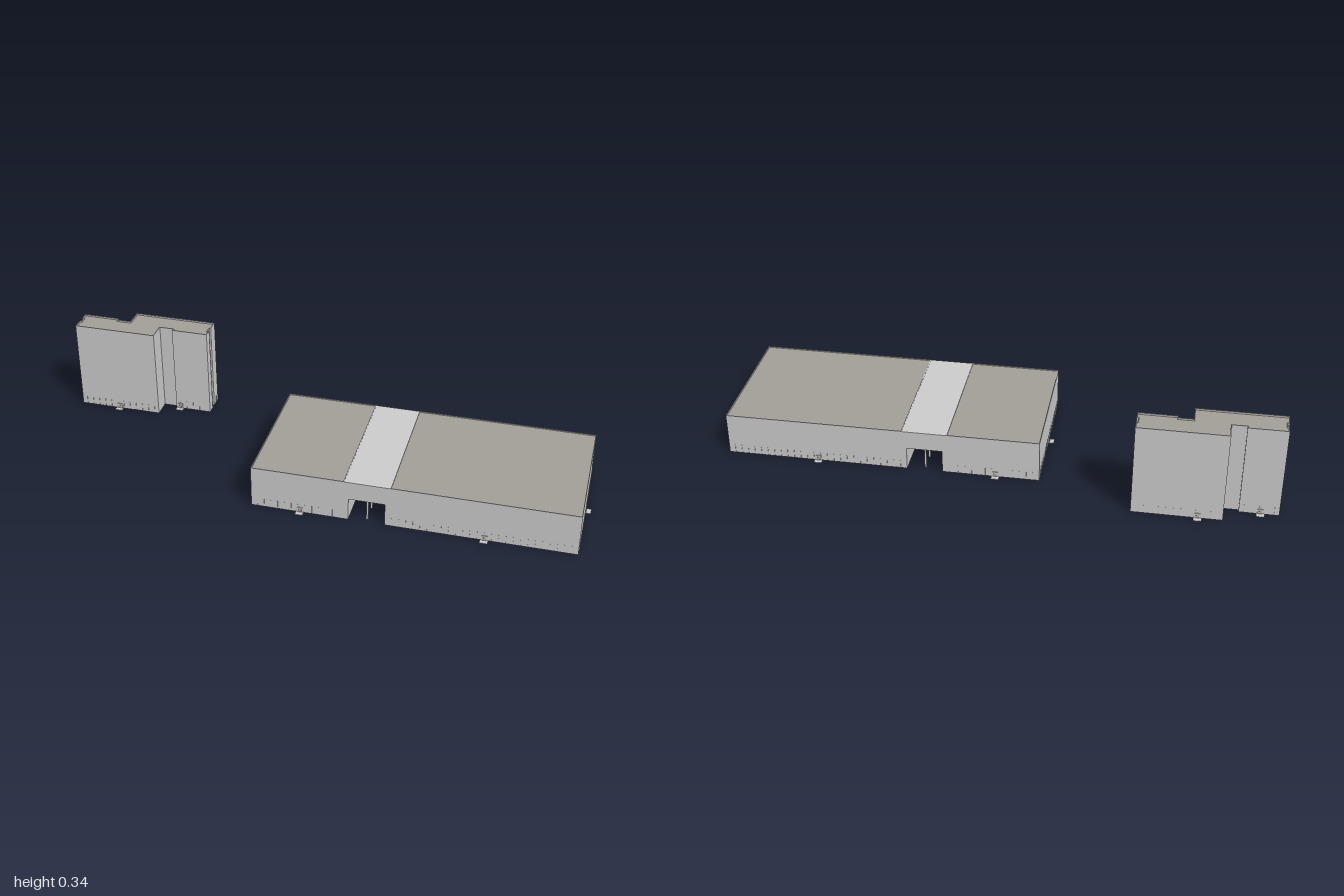
import * as THREE from 'three';

const wall = new THREE.MeshStandardMaterial({ color: 0xcccccc, flatShading: true });
const roofing = new THREE.MeshStandardMaterial({ color: 0xa19f98, flatShading: true });
const leaf = new THREE.MeshStandardMaterial({ color: 0xb0a48e, flatShading: true });

function add(parent, name, geometry, material = wall, x = 0, y = 0, z = 0) {
  const mesh = new THREE.Mesh(geometry, material);
  mesh.name = name;
  mesh.position.set(x, y, z);
  parent.add(mesh);
  return mesh;
}

// Footprints are counter-clockwise lists of [x, -z]
const toPoints = (list) => list.map(([x, y]) => new THREE.Vector2(x, y));

function prism(points, y0, y1, hole) {
  const shape = new THREE.Shape(points);
  if (hole) shape.holes.push(new THREE.Path(hole));
  const g = new THREE.ExtrudeGeometry(shape, { depth: y1 - y0, bevelEnabled: false });
  return g.rotateX(-Math.PI / 2).translate(0, y0, 0);
}

// Shrinks a right-angled footprint by t
function inset(points, t) {
  const n = points.length;
  const inward = (a, b) => {
    const d = b.clone().sub(a).normalize();
    return new THREE.Vector2(-d.y, d.x);
  };
  return points.map((p, i) => p.clone()
    .addScaledVector(inward(points[(i + n - 1) % n], p), t)
    .addScaledVector(inward(p, points[(i + 1) % n]), t));
}

// Walls, recessed roof and parapet rim over one footprint
function block(parent, name, points, height, rim) {
  const inner = inset(points, 0.003);
  add(parent, name + 'Walls', prism(points, 0, height - rim));
  add(parent, name + 'Parapet', prism(points, height - rim, height, inner));
  const roof = new THREE.ShapeGeometry(new THREE.Shape(inner)).rotateX(-Math.PI / 2);
  add(parent, name + 'Roof', roof, roofing, 0, height - rim + 0.001, 0);
}

// Entrance with frame, door leaf and flat step; angle 0 faces +z
function entrance(parent, x, z, angle) {
  const g = new THREE.Group();
  g.name = 'entrance';
  add(g, 'step', new THREE.BoxGeometry(0.028, 0.002, 0.02), wall, 0, 0.001, 0.01);
  add(g, 'doorFrame', new THREE.BoxGeometry(0.02, 0.02, 0.004), wall, 0, 0.01, 0.001);
  add(g, 'doorLeaf', new THREE.BoxGeometry(0.012, 0.013, 0.005), leaf, 0, 0.0065, 0.0015);
  g.position.set(x, 0, z);
  g.rotation.y = angle;
  parent.add(g);
}

// Thin upright fins along the foot of a wall from (x0, z0) to (x1, z1)
function fins(parent, x0, z0, x1, z1) {
  const length = Math.hypot(x1 - x0, z1 - z0);
  const count = Math.floor(length / 0.024);
  for (let i = 0; i < count; i++) {
    const t = (i + 0.5) / count;
    const fin = add(parent, 'wallFin', new THREE.BoxGeometry(0.0015, 0.03, 0.004), wall,
      x0 + (x1 - x0) * t, 0.017, z0 + (z1 - z0) * t);
    fin.rotation.y = -Math.atan2(z1 - z0, x1 - x0);
  }
}

function createHall() {
  const hall = new THREE.Group();
  hall.name = 'hall';
  const W = 0.5675, D = 0.2545;
  const rect = (a, b) => toPoints([[a, -D], [b, -D], [b, D], [a, D]]);
  block(hall, 'westWing', rect(-W, -0.236), 0.155, 0.004);
  block(hall, 'eastWing', rect(-0.076, W), 0.155, 0.004);

  // Link bridging the open passage
  const link = new THREE.Shape(toPoints([
    [-0.236, 0], [-0.22, 0], [-0.22, 0.085], [-0.092, 0.085],
    [-0.092, 0], [-0.076, 0], [-0.076, 0.154], [-0.236, 0.154],
  ]));
  add(hall, 'passageLink',
    new THREE.ExtrudeGeometry(link, { depth: 2 * D, bevelEnabled: false }), wall, 0, 0, -D);

  // Row of columns down the middle of the passage
  for (let i = 0; i < 8; i++) {
    add(hall, 'passageColumn', new THREE.BoxGeometry(0.007, 0.085, 0.007), wall,
      -0.156, 0.0425, -0.235 + i * 0.47 / 7);
  }

  for (const s of [-1, 1]) {
    fins(hall, -W + 0.01, s * D, -0.24, s * D);
    fins(hall, -0.08, s * D, W - 0.01, s * D);
    fins(hall, s * W, -D + 0.01, s * W, D - 0.01);
    entrance(hall, s * W, 0, s * Math.PI / 2);
  }
  for (const x of [-0.392, 0.252]) entrance(hall, x, D, 0);
  for (const x of [-0.411, 0.234]) entrance(hall, x, -D, Math.PI);

  hall.position.set(0.408, 0, 0.044);
  hall.rotation.y = 0.021;
  return hall;
}

function createTower() {
  const tower = new THREE.Group();
  tower.name = 'tower';
  // Half of the stepped outline; the other half is the same turned by 180 degrees
  const half = [
    [-0.251, -0.077], [0.062, -0.077], [0.062, -0.008], [0.114, -0.008], [0.114, -0.019],
    [0.251, -0.019], [0.251, 0.013], [0.245, 0.013], [0.245, 0.032], [0.251, 0.032],
  ];
  const outline = toPoints([...half, ...half.map(([x, y]) => [-x, -y])]);
  block(tower, 'tower', outline, 0.341, 0.007);

  for (const s of [-1, 1]) {
    fins(tower, s * -0.245, s * 0.077, s * 0.058, s * 0.077);
    fins(tower, s * 0.118, s * 0.019, s * 0.247, s * 0.019);
    fins(tower, s * 0.251, s * -0.074, s * 0.251, s * -0.035);
  }
  entrance(tower, -0.097, 0.077, 0);
  entrance(tower, 0.13, 0.019, 0);
  entrance(tower, 0.023, -0.077, Math.PI);
  entrance(tower, -0.187, -0.019, Math.PI);

  tower.position.set(-0.749, 0, -0.24);
  tower.rotation.y = 0.02;
  return tower;
}

export function createModel() {
  const model = new THREE.Group();
  model.name = 'buildings';
  model.add(createHall(), createTower());
  return model;
}
